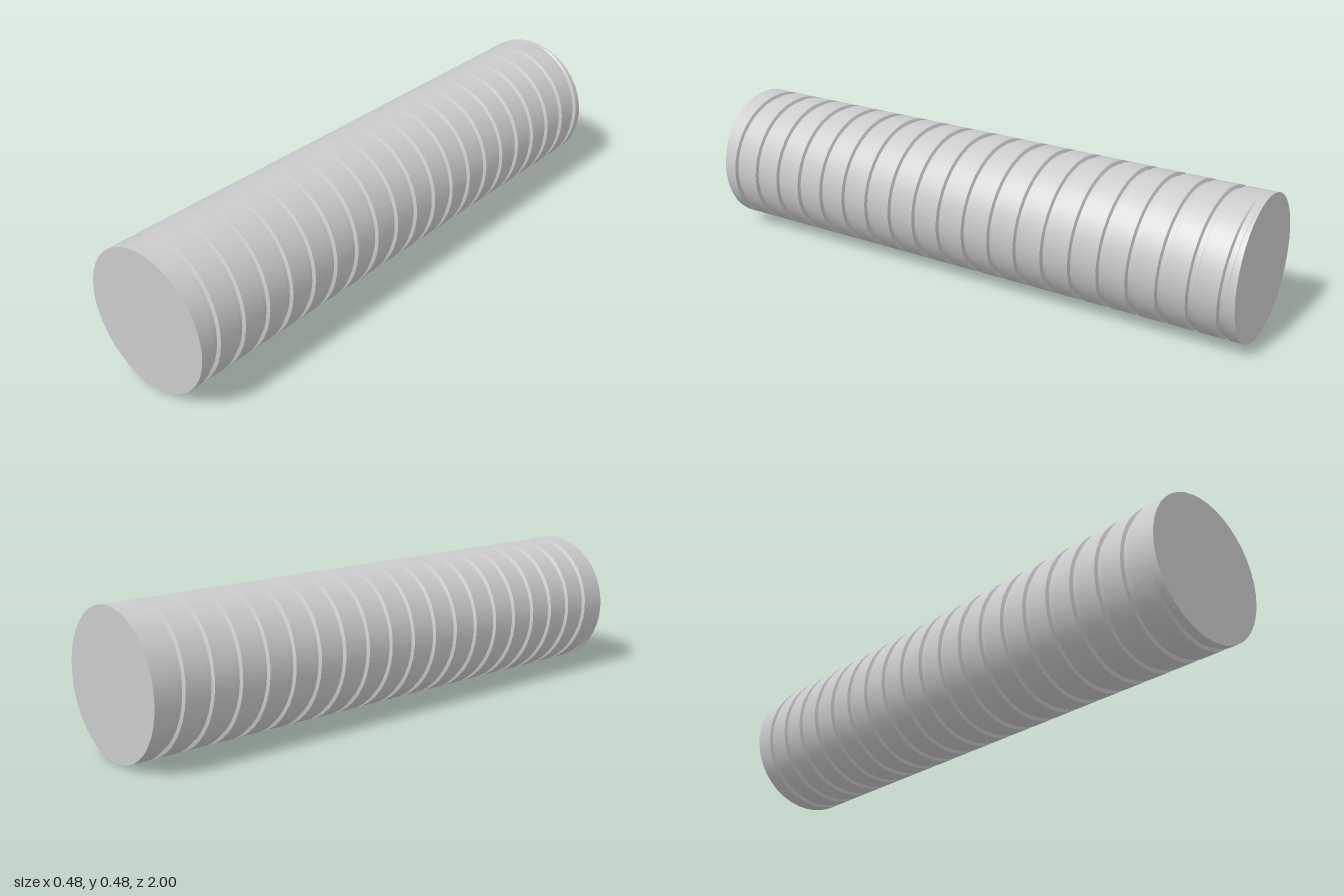
import * as THREE from 'three';
import { toCreasedNormals } from 'three/addons/utils/BufferGeometryUtils.js';

const RADIUS = 0.241, HALF = 1, PITCH = 0.1, SIDES = 40;
const GROOVE_WIDTH = 0.026, GROOVE_DEPTH = 0.011;

// Groove section: [offset along the axis in widths, share of the depth]
const SECTION = [[0.5, 0], [0.32, 1], [-0.32, 1], [-0.5, 0]];

// Lengthwise profile [z, radius] at one angle, front to back
function profileAt(angle) {
  const points = [[HALF, RADIUS]];
  for (let turn = -2; turn <= 21; turn++) {
    const centre = 0.94 - PITCH * (turn + angle / (2 * Math.PI));
    // The groove runs out just before each end
    const fade = THREE.MathUtils.clamp((HALF - Math.abs(centre) - 0.015) / 0.015, 0, 1);
    for (const [offset, depth] of SECTION) {
      const z = THREE.MathUtils.clamp(centre + offset * GROOVE_WIDTH, -HALF, HALF);
      points.push([z, RADIUS - GROOVE_DEPTH * depth * fade]);
    }
  }
  points.push([-HALF, RADIUS]);
  return points;
}

// Shaft skin whose rows follow the helical groove
function threadedGeometry() {
  const positions = [], index = [];
  const rows = profileAt(0).length;
  for (let j = 0; j <= SIDES; j++) {
    const angle = (j / SIDES) * Math.PI * 2;
    for (const [z, r] of profileAt(angle)) {
      positions.push(r * Math.cos(angle), r * Math.sin(angle), z);
    }
  }
  for (let j = 0; j < SIDES; j++) {
    for (let i = 0; i < rows - 1; i++) {
      const a = j * rows + i, b = a + rows;
      index.push(a, a + 1, b, b, a + 1, b + 1);
    }
  }
  const geometry = new THREE.BufferGeometry();
  geometry.setAttribute('position', new THREE.Float32BufferAttribute(positions, 3));
  geometry.setIndex(index);
  return toCreasedNormals(geometry, 0.5);
}

export function createModel() {
  const group = new THREE.Group();
  group.name = 'threadedRod';
  const material = new THREE.MeshStandardMaterial({ color: 0xcccccc });

  const shaft = new THREE.Mesh(threadedGeometry(), material);
  shaft.name = 'threadedShaft';
  shaft.position.y = RADIUS;
  group.add(shaft);

  // Flat end faces
  for (const side of [1, -1]) {
    const cap = new THREE.Mesh(new THREE.CircleGeometry(RADIUS, SIDES), material);
    cap.name = side > 0 ? 'frontEnd' : 'backEnd';
    cap.position.set(0, RADIUS, side * HALF);
    if (side < 0) cap.rotation.y = Math.PI;
    group.add(cap);
  }
  return group;
}
